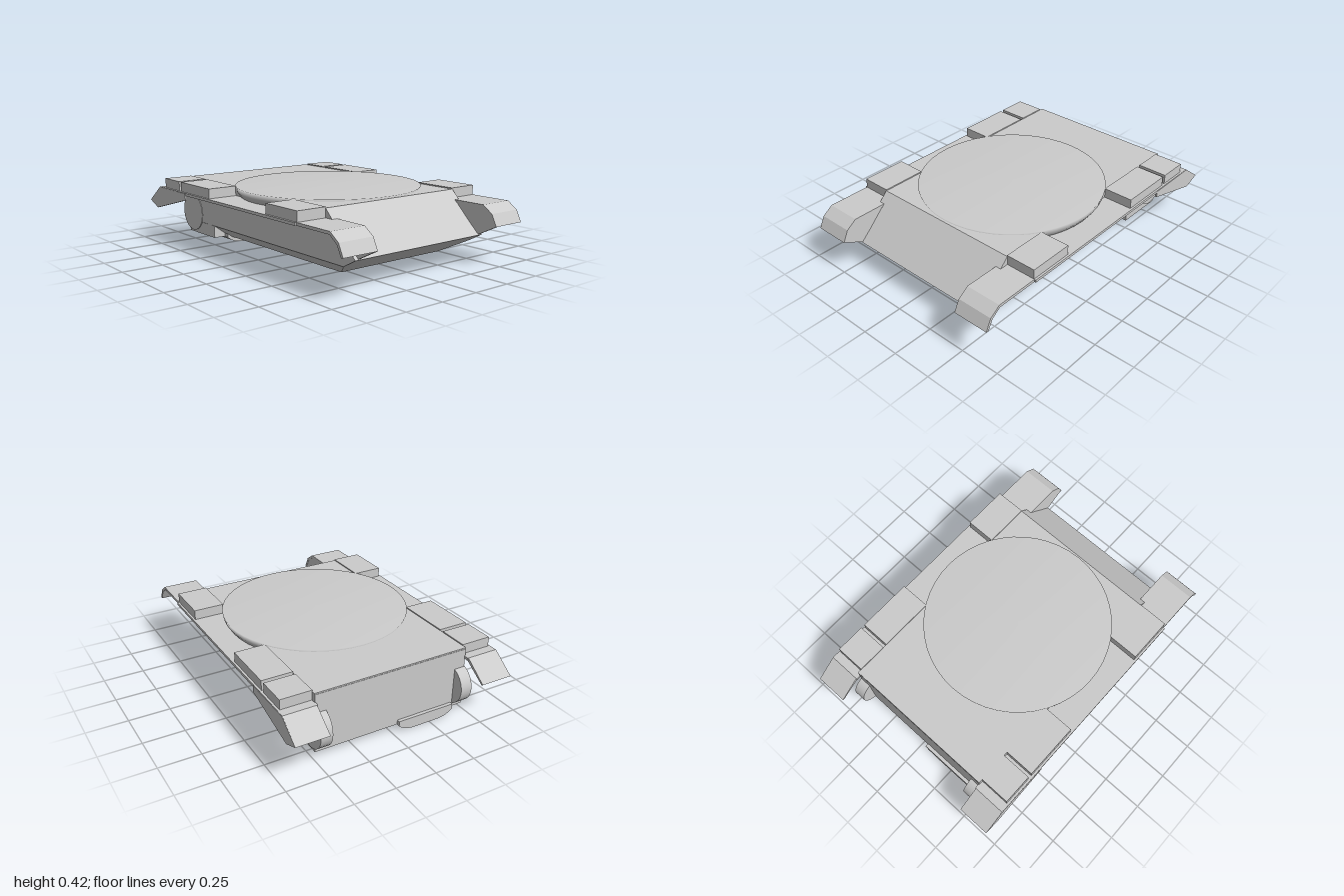
import * as THREE from 'three';
import { ConvexGeometry } from 'three/addons/geometries/ConvexGeometry.js';

const material = new THREE.MeshStandardMaterial({ color: 0xcccccc, side: THREE.DoubleSide });

function add(parent, name, geometry, x = 0, y = 0, z = 0) {
  const mesh = new THREE.Mesh(geometry, material);
  mesh.name = name;
  mesh.position.set(x, y, z);
  parent.add(mesh);
  return mesh;
}

// Box given by its limits on each axis
function box(parent, name, [x0, x1], [y0, y1], [z0, z1]) {
  return add(parent, name, new THREE.BoxGeometry(x1 - x0, y1 - y0, z1 - z0),
    (x0 + x1) / 2, (y0 + y1) / 2, (z0 + z1) / 2);
}

// Side profile of [z, y] points, extruded from x0 to x1
function sidePlate(parent, name, points, x0, x1) {
  const shape = new THREE.Shape(points.map(([z, y]) => new THREE.Vector2(-z, y)));
  const geometry = new THREE.ExtrudeGeometry(shape, { depth: x1 - x0, bevelEnabled: false });
  geometry.rotateY(Math.PI / 2);
  return add(parent, name, geometry, x0);
}

function buildSide(sign) {
  const side = new THREE.Group();
  side.name = sign > 0 ? 'leftTrackGuard' : 'rightTrackGuard';

  // Fender shelf
  box(side, 'fender', [0.485, 0.69], [0.338, 0.355], [-0.86, 0.63]);

  // Curved front mudguard and its inner cheek
  sidePlate(side, 'frontMudguard', [
    [0.63, 0.355], [0.9, 0.355], [0.965, 0.31], [1, 0.24],
    [0.985, 0.236], [0.95, 0.3], [0.895, 0.338], [0.63, 0.338],
  ], 0.455, 0.68);
  sidePlate(side, 'mudguardCheek', [
    [0.68, 0.35], [0.9, 0.35], [0.96, 0.31], [1, 0.24], [0.87, 0.175],
  ], 0.457, 0.47);

  // Slanted rear flap and outer skirt
  sidePlate(side, 'rearFlap', [
    [-0.85, 0.355], [-0.86, 0.355], [-1, 0.25], [-0.99, 0.243], [-0.85, 0.338],
  ], 0.49, 0.69);
  sidePlate(side, 'rearSkirt', [
    [-0.52, 0.35], [-0.86, 0.353], [-1, 0.25], [-0.9, 0.21], [-0.52, 0.31],
  ], 0.68, 0.692);

  // Stowage bins on the fender
  for (const [z0, z1] of [[0.345, 0.63], [-0.595, -0.25], [-0.805, -0.62]]) {
    box(side, 'stowageBin', [0.488, 0.677], [0.35, 0.415], [z0, z1]);
  }

  // Final drive housing
  const drive = add(side, 'finalDrive', new THREE.CylinderGeometry(0.122, 0.122, 0.073, 32), 0.457, 0.174, -0.785);
  drive.rotation.z = Math.PI / 2;

  side.scale.x = sign;
  return side;
}

export function createModel() {
  const model = new THREE.Group();
  model.name = 'armouredHull';

  // Main hull with wedge nose and chamfered belly
  const corners = [];
  for (const s of [-1, 1]) {
    for (const [x, y, z] of [
      [0.49, 0.408, 0.63], [0.49, 0.17, 0.87], [0.49, 0.12, 0.778], [0.38, 0.04, 0.63],
      [0.38, 0.04, -0.83], [0.49, 0.12, -0.83], [0.49, 0.408, -0.83],
    ]) corners.push(new THREE.Vector3(s * x, y, z));
  }
  add(model, 'hull', new ConvexGeometry(corners));

  // Square transmission section at the rear
  box(model, 'rearHull', [-0.488, 0.488], [0.04, 0.4], [-0.832, -0.52]);

  // Dished turret ring
  const ring = [[0, 0.325], [0.49, 0.325], [0.508, 0.336], [0.545, 0.355], [0.566, 0.385], [0.573, 0.418], [0, 0.42]];
  add(model, 'turretRing', new THREE.LatheGeometry(ring.map(([r, y]) => new THREE.Vector2(r, y)), 48), 0, 0, 0.045);

  // Rounded engine sump under the tail
  const sump = new THREE.Shape();
  sump.moveTo(-0.41, 0.068);
  sump.lineTo(-0.41, 0.038);
  sump.quadraticCurveTo(-0.37, 0, -0.3, 0);
  sump.lineTo(-0.15, 0);
  sump.quadraticCurveTo(-0.08, 0, -0.04, 0.038);
  sump.lineTo(-0.04, 0.068);
  add(model, 'sump', new THREE.ExtrudeGeometry(sump, { depth: 0.37, bevelEnabled: false }), 0, 0, -0.853);

  model.add(buildSide(1), buildSide(-1));
  return model;
}
